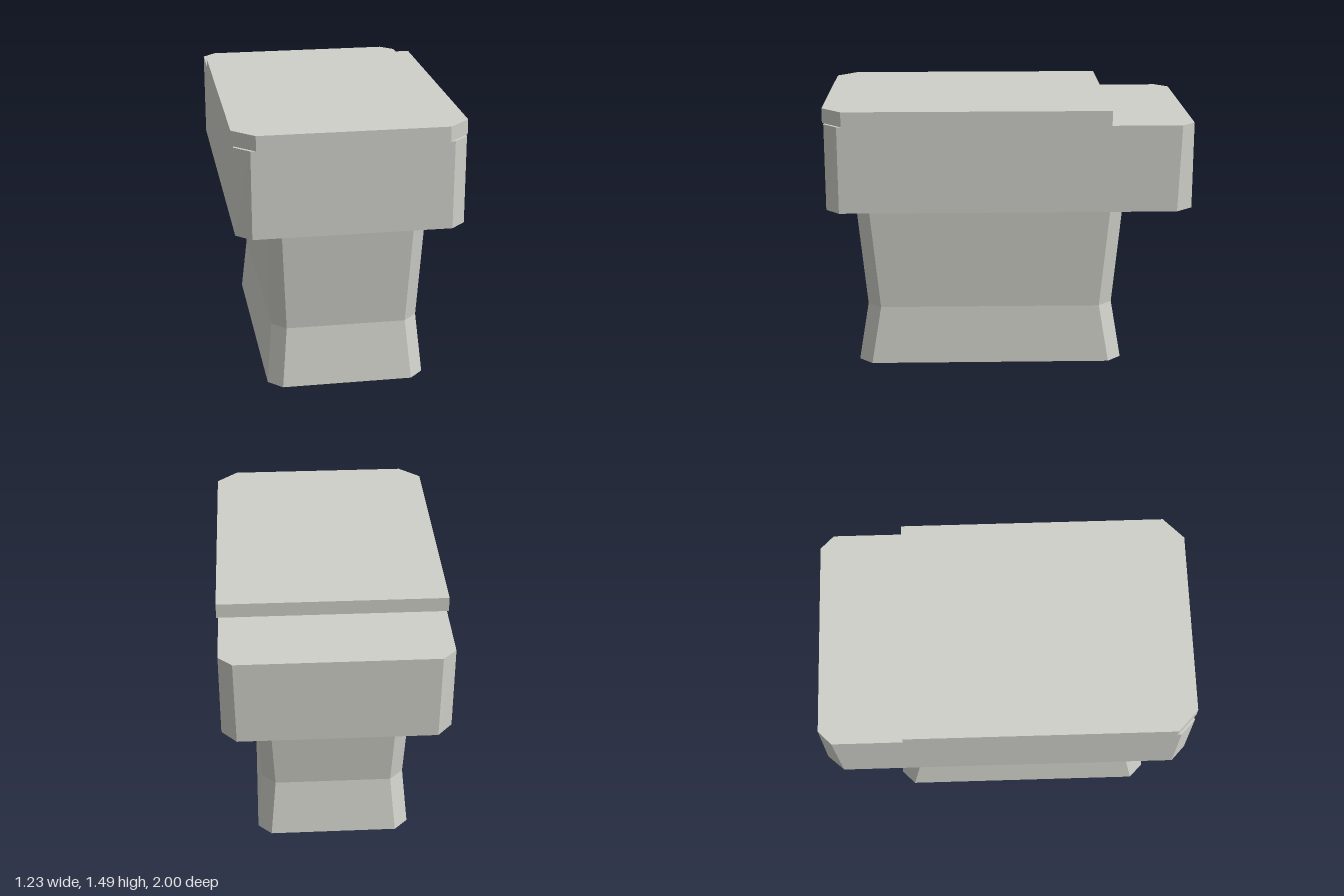
import * as THREE from 'three';

// Rectangle with cut corners, running front -> right -> back -> left at height y.
// cutF / cutB are the [x, z] sizes of the corner cuts at the front and back.
function outline(y, halfX, back, front, cutF, cutB) {
  const [fx, fz] = cutF;
  const right = [[halfX - fx, front], [halfX, front - fz]];
  if (cutB) right.push([halfX, back + cutB[1]], [halfX - cutB[0], back]);
  else right.push([halfX, back]);
  const left = right.map(([x, z]) => [-x, z]).reverse();
  return [...right, ...left].map(([x, z]) => new THREE.Vector3(x, y, z));
}

// Flat-faced skin through a stack of outlines, with optional end caps.
function loft(rings, capBottom, capTop) {
  const pts = [];
  const n = rings[0].length;
  for (let r = 0; r < rings.length - 1; r++) {
    const a = rings[r], b = rings[r + 1];
    for (let i = 0; i < n; i++) {
      const j = (i + 1) % n;
      pts.push(a[i], a[j], b[j], a[i], b[j], b[i]);
    }
  }
  const top = rings[rings.length - 1], bottom = rings[0];
  for (let i = 1; i < n - 1; i++) {
    if (capTop) pts.push(top[0], top[i], top[i + 1]);
    if (capBottom) pts.push(bottom[0], bottom[i + 1], bottom[i]);
  }
  const geometry = new THREE.BufferGeometry().setFromPoints(pts);
  geometry.computeVertexNormals();
  return geometry;
}

export function createModel() {
  const group = new THREE.Group();
  const paleGrey = new THREE.MeshStandardMaterial({ color: 0xcfd0c9, side: THREE.DoubleSide });
  paleGrey.name = 'paleGrey';

  const add = (name, geometry) => {
    const mesh = new THREE.Mesh(geometry, paleGrey);
    mesh.name = name;
    group.add(mesh);
  };

  // Waisted pedestal: a thin shell, open underneath
  const cut = [0.075, 0.075];
  add('pedestal', loft([
    outline(0, 0.43, -0.645, 0.845, cut, cut),
    outline(0.325, 0.4, -0.59, 0.79, cut, cut),
    outline(0.93, 0.43, -0.645, 0.845, cut, cut),
  ], false, false));

  // Wide block on top of the pedestal
  add('body', loft([
    outline(0.93, 0.603, -1, 0.99, [0.08, 0.075], [0.08, 0.09]),
    outline(1.405, 0.603, -1, 0.99, [0.078, 0.075], [0.073, 0.072]),
  ], true, true));

  // Slab lid, slightly overhanging, square at the back
  add('lid', loft([
    outline(1.407, 0.613, -0.55, 1, [0.115, 0.11]),
    outline(1.487, 0.613, -0.55, 1, [0.115, 0.11]),
  ], true, true));

  return group;
}
